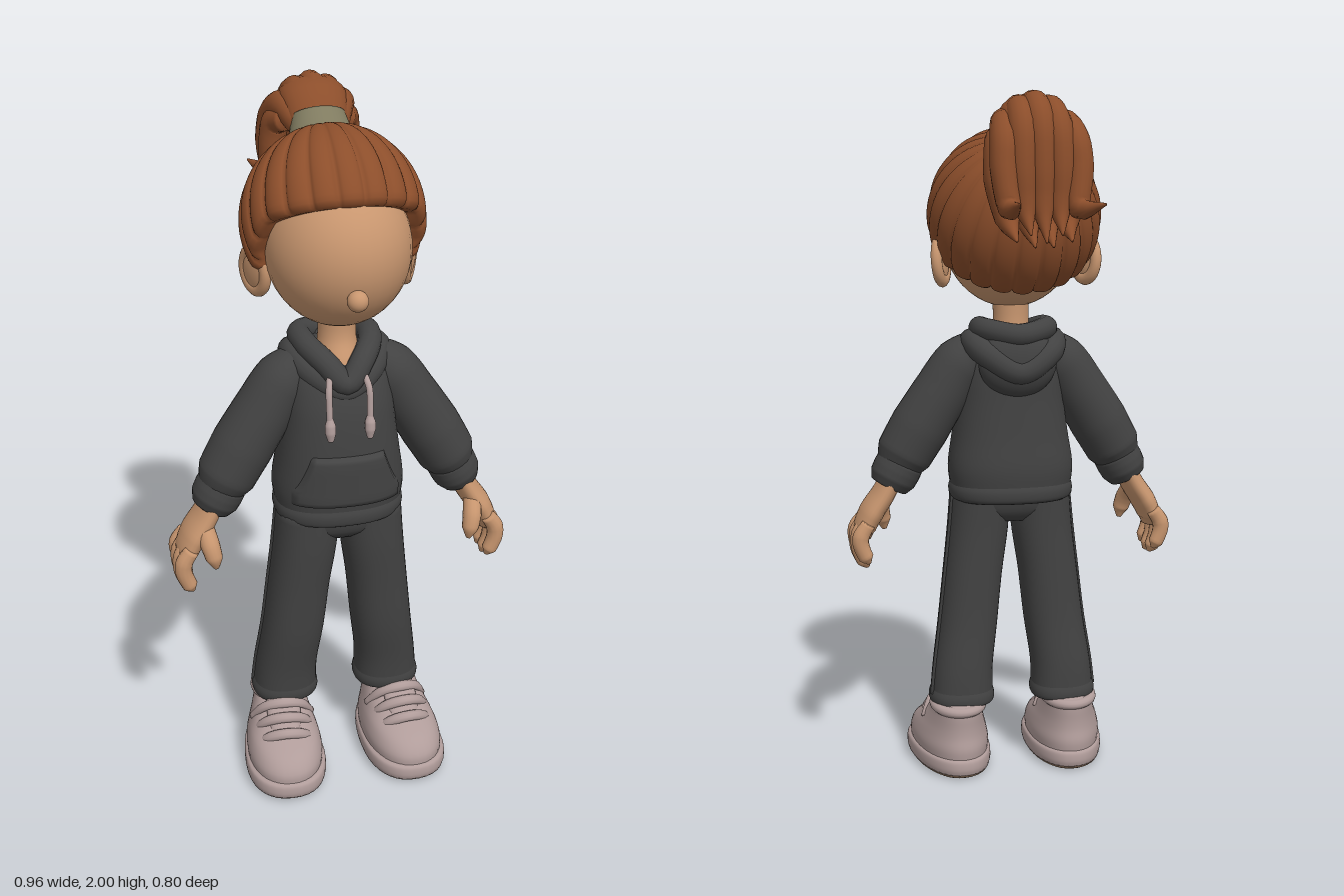
import * as THREE from 'three';

const mat = (name, color) => Object.assign(new THREE.MeshStandardMaterial({ color }), { name });
const V = (x, y, z) => new THREE.Vector3(x, y, z);
const RAD = Math.PI / 180;

// Closed skin over a list of rings, capped at both ends
function skin(rings) {
  const n = rings[0].length, pos = [], idx = [];
  rings.forEach(r => r.forEach(p => pos.push(p.x, p.y, p.z)));
  for (let j = 0; j < rings.length - 1; j++) for (let i = 0; i < n; i++) {
    const a = j * n + i, b = j * n + (i + 1) % n, c = a + n, d = b + n;
    idx.push(a, c, d, a, d, b);
  }
  [0, rings.length - 1].forEach((j, end) => {
    const m = rings[j].reduce((s, p) => s.add(p), V(0, 0, 0)).divideScalar(n);
    const k = pos.length / 3;
    pos.push(m.x, m.y, m.z);
    for (let i = 0; i < n; i++) {
      const a = j * n + i, b = j * n + (i + 1) % n;
      end ? idx.push(k, b, a) : idx.push(k, a, b);
    }
  });
  const g = new THREE.BufferGeometry();
  g.setAttribute('position', new THREE.Float32BufferAttribute(pos, 3));
  g.setIndex(idx);
  g.computeVertexNormals();
  return g;
}

// Level rings [y, cx, cz, rx, rz] from bottom to top; n squares them, egg widens the front
function loft(sections, n = 2, egg = 0, seg = 40) {
  const A = new THREE.CatmullRomCurve3(sections.map(s => V(s[1], s[0], s[2])), false, 'catmullrom');
  const B = new THREE.CatmullRomCurve3(sections.map(s => V(s[3], s[4], 0)), false, 'catmullrom');
  const steps = (sections.length - 1) * 4, pw = v => Math.sign(v) * Math.abs(v) ** (2 / n), rings = [];
  for (let j = 0; j <= steps; j++) {
    const c = A.getPoint(j / steps), r = B.getPoint(j / steps);
    rings.push(Array.from({ length: seg }, (_, i) => {
      const a = i / seg * 2 * Math.PI, s = pw(Math.sin(a));
      return V(c.x + r.x * pw(Math.cos(a)) * (1 + egg * s), c.y, c.z + r.y * s);
    }));
  }
  return skin(rings);
}

// Tapering tube; flat widens it along the side vector
function limb(points, radii, side = V(0, 0, 1), flat = 1, seg = 16, steps = 20) {
  const curve = new THREE.CatmullRomCurve3(points.map(p => V(...p)));
  const rings = [];
  for (let j = 0; j <= steps; j++) {
    const t = j / steps, c = curve.getPoint(t), T = curve.getTangent(t);
    const N = side.clone().addScaledVector(T, -side.dot(T)).normalize();
    const B = T.clone().cross(N);
    const f = t * (radii.length - 1), k = Math.min(Math.floor(f), radii.length - 2);
    const r = THREE.MathUtils.lerp(radii[k], radii[k + 1], f - k);
    rings.push(Array.from({ length: seg }, (_, i) => {
      const a = i / seg * 2 * Math.PI;
      return c.clone().addScaledVector(N, r * flat * Math.cos(a)).addScaledVector(B, -r * Math.sin(a));
    }));
  }
  return skin(rings);
}
const ball = (x, y, z, rx, ry, rz) => new THREE.SphereGeometry(1, 36, 24).scale(rx, ry, rz).translate(x, y, z);

export function createModel() {
  const skinTone = mat('skin', 0xc8966f), hair = mat('hair', 0x8c4e2b), cloth = mat('charcoal cloth', 0x424242);
  const shoe = mat('pale shoe', 0xb09c9a), band = mat('hair band', 0x807b60), rubber = mat('tan sole', 0x9f8168);
  const root = new THREE.Group();
  const add = (name, geo, m) => { const o = new THREE.Mesh(geo, m); o.name = name; root.add(o); };
  // Adds the left part and its mirrored right part
  const pair = (name, geo, m) => {
    const g = geo.clone().scale(-1, 1, 1), ix = g.index.array;
    for (let i = 0; i < ix.length; i += 3) [ix[i], ix[i + 1]] = [ix[i + 1], ix[i]];
    add('left ' + name, geo, m);
    add('right ' + name, g, m);
  };

  // Head, nose, neck, ears
  add('head', ball(0, 1.605, 0.13, 0.195, 0.21, 0.215), skinTone);
  add('nose', ball(0, 1.53, 0.345, 0.028, 0.028, 0.028), skinTone);
  add('neck', loft([[1.24, 0, 0.14, 0.08, 0.085], [1.3, 0, 0.13, 0.062, 0.075], [1.36, 0, 0.12, 0.052, 0.056], [1.45, 0, 0.12, 0.055, 0.058]]), skinTone);
  const earPlace = g => g.rotateY(Math.PI / 2 - 0.45).rotateX(0.2).translate(0.212, 1.535, 0.072);
  pair('ear', earPlace(ball(0, 0, 0, 0.05, 0.062, 0.018)), skinTone);
  pair('earRim', earPlace(new THREE.TorusGeometry(0.044, 0.016, 12, 30).scale(1.05, 1.28, 1)), skinTone);

  // Swept-back hair: lobes run from the hair band to the hairline
  const p = V(0, 0.82, -0.57), f = V(0, 0.57, 0.82), s = V(-1, 0, 0);
  const line = [[0, 100], [30, 99], [60, 98], [84, 111], [93, 120], [110, 118], [181, 120]];
  const hairline = d => {
    const k = line.findIndex((q, i) => d < line[i + 1][0]), [a, b] = [line[k], line[k + 1]];
    return THREE.MathUtils.lerp(a[1], b[1], (d - a[0]) / (b[0] - a[0]));
  };
  const rows = [[1, 0.8], [1, 0.91], [0.985, 0.965], [0.955, 0.995]];
  for (let i = 0; i < 22; i++) rows.push([0.92 - i * 0.04, 1]);
  const lobes = 22, seg = lobes * 10;
  add('hairCap', skin(rows.map(([t, k]) => Array.from({ length: seg }, (_, i) => {
    const a = i / seg * 2 * Math.PI, deg = Math.min(i, seg - i) / seg * 360;
    const th = hairline(deg) * t * RAD;
    const r = k * (1.01 - 0.055 * (1 - Math.sqrt(Math.abs(Math.cos(lobes * a / 2)))) * Math.min(1, t * 1.3));
    const d = p.clone().multiplyScalar(Math.cos(th))
      .addScaledVector(f, Math.sin(th) * Math.cos(a)).addScaledVector(s, Math.sin(th) * Math.sin(a));
    return V(d.x * r * 0.247, 1.66 + d.y * r * 0.25, 0.07 + d.z * r * (d.z > 0 ? 0.255 : 0.232));
  }))), hair);

  // Hair band and ponytail
  add('hairBand', limb([[0, 1.82, -0.045], [0, 1.855, -0.07], [0, 1.895, -0.1]], [0.066, 0.072, 0.062], V(1, 0, 0), 1.18, 32), band);
  add('ponytailCore', limb([[0, 1.87, -0.085], [0, 1.93, -0.16], [0, 1.89, -0.235], [0, 1.77, -0.25], [0, 1.66, -0.25]],
    [0.05, 0.058, 0.058, 0.05, 0.008], V(1, 0, 0), 1.6, 24), hair);
  for (let i = -2; i <= 2; i++) {
    const flick = i === -2 || i === 2, x = i * 0.047;
    const tip = flick ? [i < 0 ? -0.14 : 0.088, 1.7, -0.4] : [x * 0.9, 1.6 + 0.02 * Math.abs(i), -0.335];
    const high = 0.012 * i * i;
    add('ponytailLock', limb([[x * 0.6, 1.87, -0.09], [x * 0.85, 1.955 - high, -0.17], [x, 1.91 - high, -0.25],
      [x * 1.08, 1.79, -0.275], [x * 1.0, 1.69, flick ? -0.31 : -0.285], tip], [0.03, 0.042, 0.045, 0.042, 0.034, 0.003], V(1, 0, 0), 0.9), hair);
  }
  for (let i = -1.5; i <= 1.5; i++) {
    const x = i * 0.055;
    add('ponytailUnderLock', limb([[x, 1.88, -0.13], [x * 1.2, 1.86, -0.19], [x * 1.25, 1.76, -0.21], [x, 1.66, -0.225],
      [x * 0.9, 1.58 + Math.abs(i) * 0.015, -0.31]], [0.03, 0.04, 0.042, 0.036, 0.003], V(1, 0, 0), 0.95), hair);
  }

  // Hoodie body
  const torso = [[0.86, 0, 0.13, 0.178, 0.138], [0.93, 0, 0.13, 0.185, 0.145], [1.02, 0, 0.135, 0.172, 0.142],
    [1.12, 0, 0.135, 0.158, 0.135], [1.2, 0, 0.13, 0.15, 0.125], [1.28, 0, 0.12, 0.135, 0.1], [1.33, 0, 0.1, 0.09, 0.065]];
  add('hoodieBody', loft(torso, 2.4), cloth);
  add('hoodieWaistband', loft([[0.83, 0, 0.13, 0.168, 0.13], [0.84, 0, 0.13, 0.181, 0.142], [0.865, 0, 0.13, 0.184, 0.145], [0.888, 0, 0.13, 0.176, 0.138]], 2.4), cloth);

  // Front pocket follows the body
  const frontZ = (x, y) => {
    const k = Math.max(0, torso.findIndex((q, i) => i < 6 && y < torso[i + 1][0])), a = torso[k], b = torso[k + 1];
    const [, , cz, rx, rz] = a.map((v, i) => THREE.MathUtils.lerp(v, b[i], (y - a[0]) / (b[0] - a[0])));
    return cz + rz * Math.max(0, 1 - Math.abs(x / rx) ** 2.4) ** (1 / 2.4);
  };
  const pocket = new THREE.PlaneGeometry(2, 1, 28, 14), pp = pocket.attributes.position;
  for (let i = 0; i < pp.count; i++) {
    const u = pp.getX(i), v = pp.getY(i) + 0.5, edge = Math.abs(u) > 0.99 || v < 0.01 || v > 0.99;
    const x = u * (v < 0.3 ? 0.158 : 0.158 - 0.056 * ((v - 0.3) / 0.7) ** 0.7), y = 0.895 + 0.165 * v;
    pp.setXYZ(i, x, y, frontZ(x, y) + (edge ? -0.015 : 0.016));
  }
  pocket.computeVertexNormals();
  add('frontPocket', pocket, cloth);

  // Hood lying on the back, with a V-shaped rim
  const loop = (pts, r) => new THREE.TubeGeometry(
    new THREE.CatmullRomCurve3([...pts, ...pts.slice(1, -1).reverse().map(([x, y, z]) => [-x, y, z])].map(q => V(...q)), true), 72, r, 14, true);
  add('hoodRim', loop([[0, 1.255, 0.235], [0.05, 1.305, 0.205], [0.09, 1.335, 0.13], [0.088, 1.338, 0.05], [0, 1.325, -0.005]], 0.033), cloth);
  add('hoodFold', loop([[0, 1.225, 0.215], [0.075, 1.265, 0.185], [0.118, 1.3, 0.1], [0.09, 1.27, 0.015], [0, 1.22, -0.01]], 0.038), cloth);
  add('hoodPouch', ball(0, 1.245, 0.025, 0.115, 0.105, 0.062), cloth);
  pair('drawstring', limb([[0.045, 1.285, 0.232], [0.055, 1.25, 0.262], [0.056, 1.2, 0.272], [0.055, 1.15, 0.278]], [0.009, 0.009], V(1, 0, 0)), shoe);
  pair('drawstringEnd', limb([[0.055, 1.175, 0.275], [0.055, 1.145, 0.279], [0.054, 1.11, 0.282]], [0.008, 0.015, 0.015, 0.008], V(1, 0, 0)), shoe);

  // Sleeves and cuffs
  pair('sleeve', limb([[0.08, 1.285, 0.115], [0.15, 1.235, 0.12], [0.21, 1.145, 0.125], [0.27, 1.05, 0.13], [0.317, 0.97, 0.135], [0.338, 0.932, 0.135]],
    [0.055, 0.077, 0.083, 0.087, 0.083, 0.064], V(0, 0, 1), 1.07, 28, 30), cloth);
  pair('cuff', limb([[0.318, 0.962, 0.135], [0.34, 0.922, 0.135], [0.364, 0.876, 0.135]], [0.058, 0.07, 0.071, 0.069, 0.056], V(0, 0, 1), 1.1, 28), cloth);

  // Hands
  pair('palm', limb([[0.355, 0.9, 0.135], [0.382, 0.85, 0.137], [0.415, 0.8, 0.14], [0.436, 0.755, 0.142], [0.44, 0.725, 0.142]],
    [0.032, 0.034, 0.036, 0.033, 0.022], V(0, 0, 1), 2.05, 24), skinTone);
  [0.076, 0.118, 0.161, 0.203].forEach((z, i) => {
    const drop = [0.025, 0.004, 0, 0.015][i];
    pair('finger', limb([[0.432, 0.775, z], [0.454, 0.74, z], [0.455, 0.69 + drop, z], [0.44, 0.65 + drop, z], [0.431, 0.633 + drop, z]],
      [0.021, 0.025, 0.024, 0.022, 0.006], V(0, 0, 1), 0.95, 12), skinTone);
  });
  pair('thumb', limb([[0.39, 0.835, 0.175], [0.38, 0.79, 0.212], [0.372, 0.755, 0.224], [0.367, 0.725, 0.226]], [0.026, 0.027, 0.024, 0.007]), skinTone);

  // Trousers with side seams and hems
  add('trouserSeat', loft([[0.765, 0, 0.14, 0.1, 0.07], [0.8, 0, 0.142, 0.165, 0.1], [0.87, 0, 0.14, 0.168, 0.115]], 2.3), cloth);
  pair('trouserLeg', loft([[0.23, 0.156, 0.11, 0.094, 0.088], [0.32, 0.151, 0.115, 0.09, 0.09], [0.45, 0.133, 0.13, 0.089, 0.094],
    [0.6, 0.116, 0.137, 0.088, 0.097], [0.74, 0.098, 0.143, 0.09, 0.102], [0.86, 0.09, 0.143, 0.088, 0.105]], 2.3), cloth);
  pair('trouserHem', loft([[0.205, 0.156, 0.108, 0.075, 0.07], [0.213, 0.156, 0.108, 0.094, 0.088], [0.235, 0.156, 0.11, 0.098, 0.092], [0.26, 0.155, 0.112, 0.09, 0.086]], 2.3), cloth);
  pair('sideSeam', limb([[0.249, 0.24, 0.09], [0.24, 0.32, 0.095], [0.221, 0.45, 0.11], [0.203, 0.6, 0.115], [0.187, 0.74, 0.12], [0.177, 0.84, 0.12]], [0.006, 0.006], V(0, 0, 1), 1.6, 8), cloth);

  // Shoes
  const place = g => g.rotateY(0.07).translate(0.165, 0, 0);
  pair('outsole', place(loft([[0, 0, 0.186, 0.1, 0.185], [0.007, 0, 0.187, 0.111, 0.198], [0.014, 0, 0.188, 0.115, 0.203]], 2.3, 0.13)), rubber);
  pair('midsole', place(loft([[0.013, 0, 0.188, 0.115, 0.203], [0.03, 0, 0.188, 0.118, 0.207], [0.052, 0, 0.188, 0.116, 0.204], [0.06, 0, 0.187, 0.106, 0.193]], 2.3, 0.13)), shoe);
  pair('shoeUpper', place(loft([[0.05, 0, 0.188, 0.108, 0.195], [0.085, 0, 0.185, 0.11, 0.194], [0.12, 0, 0.173, 0.102, 0.175],
    [0.15, 0, 0.143, 0.09, 0.143], [0.185, 0, 0.107, 0.078, 0.108], [0.21, 0, 0.09, 0.073, 0.088], [0.22, 0, 0.09, 0.06, 0.075]], 2.2, 0.1)), shoe);
  pair('shoeTongue', place(limb([[0, 0.13, 0.28], [0, 0.175, 0.225], [0, 0.215, 0.185], [0, 0.245, 0.172]], [0.015, 0.02, 0.02, 0.008], V(1, 0, 0), 2.5)), shoe);
  pair('shoeCollar', place(new THREE.TorusGeometry(0.07, 0.015, 12, 40).rotateX(Math.PI / 2).scale(1, 1, 1.15).rotateX(-0.08).translate(0, 0.208, 0.088)), shoe);
  for (const [y, z] of [[0.212, 0.195], [0.185, 0.232], [0.156, 0.272]])
    pair('laceStrap', place(limb([[-0.09, y - 0.065, z - 0.035], [-0.055, y - 0.012, z - 0.004], [0, y + 0.008, z + 0.012], [0.055, y - 0.012, z - 0.004], [0.09, y - 0.065, z - 0.035]],
      [0.009, 0.013, 0.013, 0.009], V(0, 0.7, -0.7), 1.2, 10)), shoe);

  return root;
}
